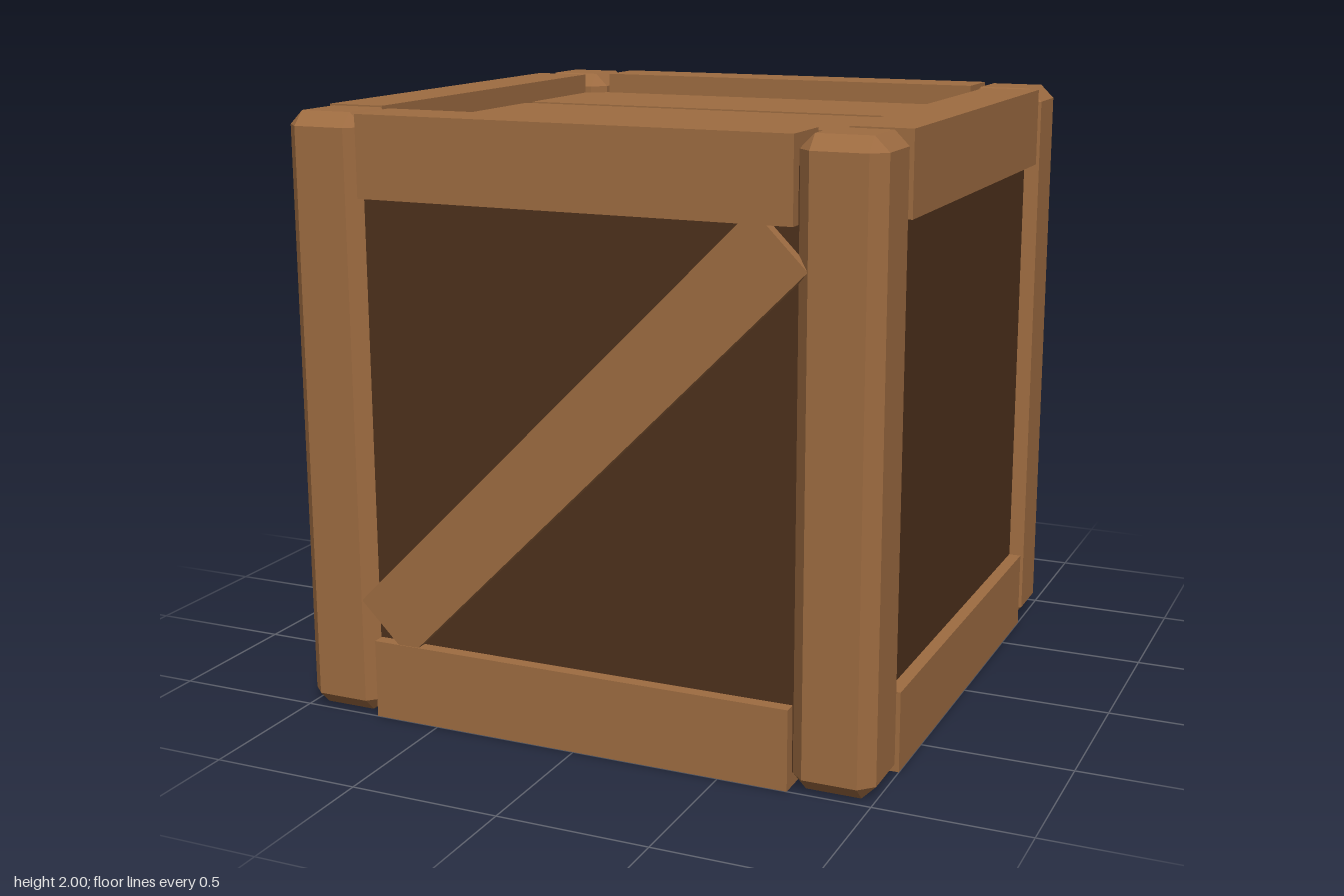
import * as THREE from 'three';
import { ConvexGeometry } from 'three/addons/geometries/ConvexGeometry.js';

const wood = new THREE.MeshStandardMaterial({ color: 0x9e6c41 });
wood.name = 'wood';
const darkWood = new THREE.MeshStandardMaterial({ color: 0x4e311c });
darkWood.name = 'dark wood';

// Box with every edge bevelled flat by c
function chamferedBox(w, h, d, c) {
  const points = [];
  for (const sx of [-1, 1]) for (const sy of [-1, 1]) for (const sz of [-1, 1]) {
    const x = w / 2, y = h / 2, z = d / 2;
    points.push(
      new THREE.Vector3(sx * x, sy * (y - c), sz * (z - c)),
      new THREE.Vector3(sx * (x - c), sy * y, sz * (z - c)),
      new THREE.Vector3(sx * (x - c), sy * (y - c), sz * z));
  }
  return new ConvexGeometry(points);
}

export function createModel() {
  const crate = new THREE.Group();
  crate.name = 'crate';

  function add(name, geometry, material, x, y, z, parent = crate) {
    const mesh = new THREE.Mesh(geometry, material);
    mesh.name = name;
    mesh.position.set(x, y, z);
    parent.add(mesh);
    return mesh;
  }

  // Dark body, slightly recessed behind the frame (y from 0.045 to 1.905)
  add('body', new THREE.BoxGeometry(1.914, 1.86, 1.914), darkWood, 0, 0.975, 0);

  // Corner posts
  const postGeometry = chamferedBox(0.27, 2, 0.27, 0.046);
  for (const x of [-0.865, 0.865]) for (const z of [-0.865, 0.865])
    add('cornerPost', postGeometry, wood, x, 1, z);

  // Top and bottom rails on all four sides
  const railGeometry = new THREE.BoxGeometry(1.46, 0.265, 0.2);
  for (let i = 0; i < 4; i++) {
    const side = new THREE.Group();
    side.name = 'sideRails';
    side.rotation.y = i * Math.PI / 2;
    crate.add(side);
    add('topRail', railGeometry, wood, 0, 1.8675, 0.9, side);
    add('bottomRail', railGeometry, wood, 0, 0.1325, 0.9, side);
  }

  // Diagonal braces on the front and back
  const braceGeometry = new THREE.BoxGeometry(1.95, 0.244, 0.12);
  for (const angle of [0, Math.PI]) {
    const side = new THREE.Group();
    side.name = 'braceSide';
    side.rotation.y = angle;
    crate.add(side);
    add('diagonalBrace', braceGeometry, wood, 0, 1.003, 0.937, side).rotation.z = Math.PI / 4;
  }

  // Lid planks with dark gaps between them
  const plankGeometry = new THREE.BoxGeometry(1.6, 0.07, 0.485);
  for (const z of [-0.535, 0, 0.535]) add('lidPlank', plankGeometry, wood, 0, 1.895, z);

  return crate;
}
